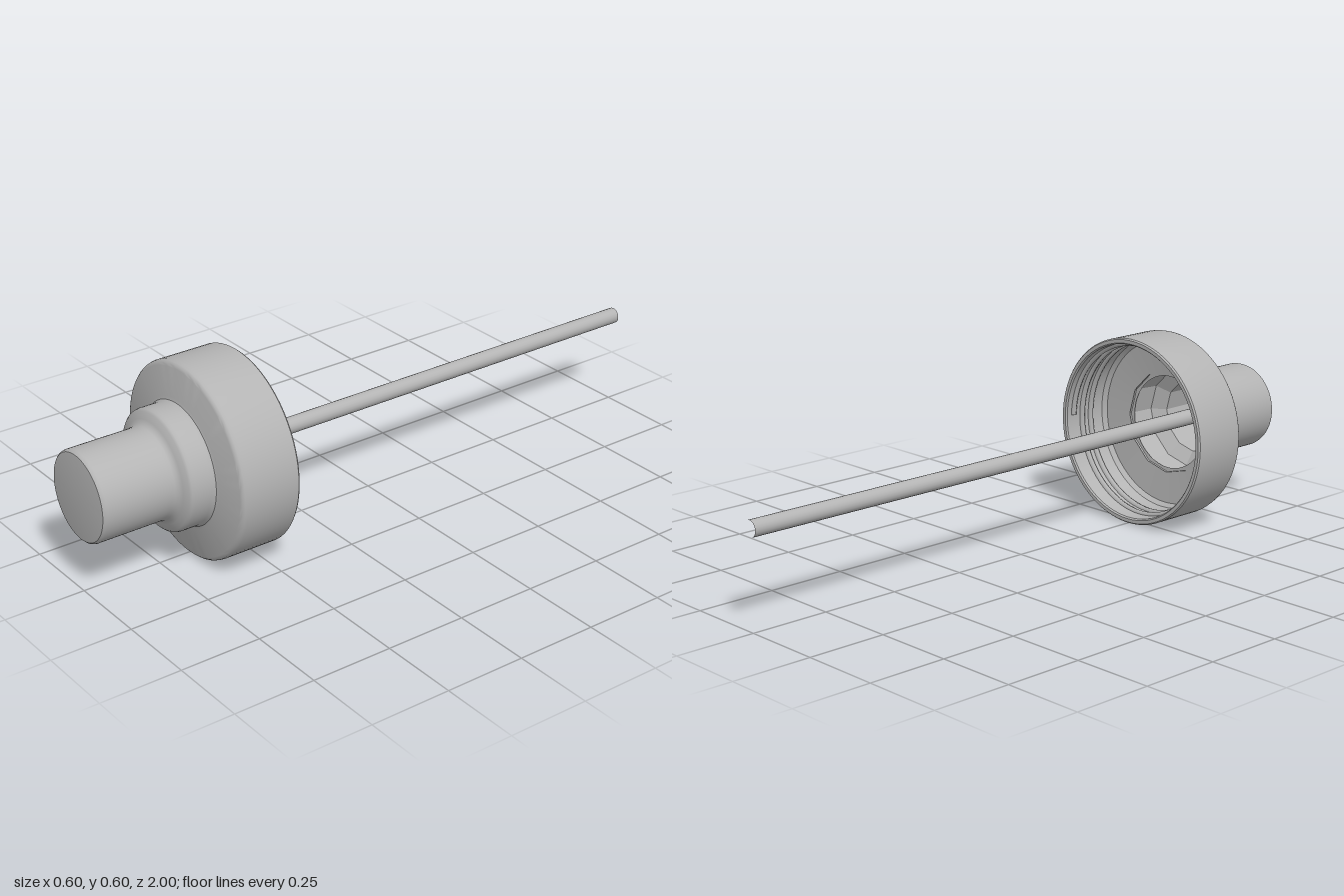
import * as THREE from 'three';
import { toCreasedNormals } from 'three/addons/utils/BufferGeometryUtils.js';

const AXIS_Y = 0.298;

// Revolves [radius, z] points around the z axis
function turned(name, points, segments, material, crease = 0.6) {
  const lathe = new THREE.LatheGeometry(points.map(([r, z]) => new THREE.Vector2(r, z)), segments);
  lathe.rotateX(Math.PI / 2);
  const mesh = new THREE.Mesh(toCreasedNormals(lathe, crease), material);
  mesh.name = name;
  return mesh;
}

// Helical ridge inside the skirt
class Helix extends THREE.Curve {
  constructor(radius, z0, z1, turns) {
    super();
    Object.assign(this, { radius, z0, z1, turns });
  }
  getPoint(t, target = new THREE.Vector3()) {
    const a = t * this.turns * Math.PI * 2;
    return target.set(
      Math.cos(a) * this.radius,
      Math.sin(a) * this.radius,
      this.z0 + (this.z1 - this.z0) * t
    );
  }
}

export function createModel() {
  const grey = new THREE.MeshStandardMaterial({ color: 0xb4b4b4 });
  grey.name = 'grey plastic';

  const model = new THREE.Group();
  model.name = 'bottleCapWithStraw';
  const body = new THREE.Group();
  body.name = 'capAndStraw';
  body.position.y = AXIS_Y;
  model.add(body);

  // Outer shell: rim, skirt, sloped shoulder, collar and plunger top
  body.add(turned('capShell', [
    [0.279, 0.468], [0.283, 0.463], [0.294, 0.463], [0.298, 0.468],
    [0.298, 0.638], [0.296, 0.647], [0.291, 0.653], [0.284, 0.656],
    [0.197, 0.667], [0.188, 0.67], [0.184, 0.676], [0.183, 0.684],
    [0.183, 0.735], [0.181, 0.744], [0.175, 0.75], [0.155, 0.757],
    [0.145, 0.763], [0.139, 0.772], [0.137, 0.784],
    [0.137, 0.988], [0.135, 0.995], [0.131, 0.999], [0.125, 1], [0, 1],
  ], 80, grey));

  // Inside of the skirt
  body.add(turned('skirtLining', [
    [0.15, 0.648], [0.265, 0.638], [0.277, 0.625], [0.279, 0.468],
  ], 80, grey));

  // Coarsely faceted hollow under the collar and plunger
  body.add(turned('hubLining', [
    [0, 0.97], [0.118, 0.97], [0.118, 0.765], [0.16, 0.735], [0.165, 0.64],
  ], 12, grey, 0.3));

  // Screw thread
  const thread = new THREE.Mesh(
    new THREE.TubeGeometry(new Helix(0.278, 0.495, 0.59, 2.5), 200, 0.01, 6),
    grey
  );
  thread.name = 'screwThread';
  body.add(thread);

  // Hollow dip straw, running from the hub to the back
  const straw = new THREE.Mesh(
    new THREE.CylinderGeometry(0.025, 0.025, 1.97, 20, 1, true).rotateX(Math.PI / 2),
    grey
  );
  straw.name = 'dipStraw';
  straw.position.z = -0.015;
  body.add(straw);

  return model;
}
